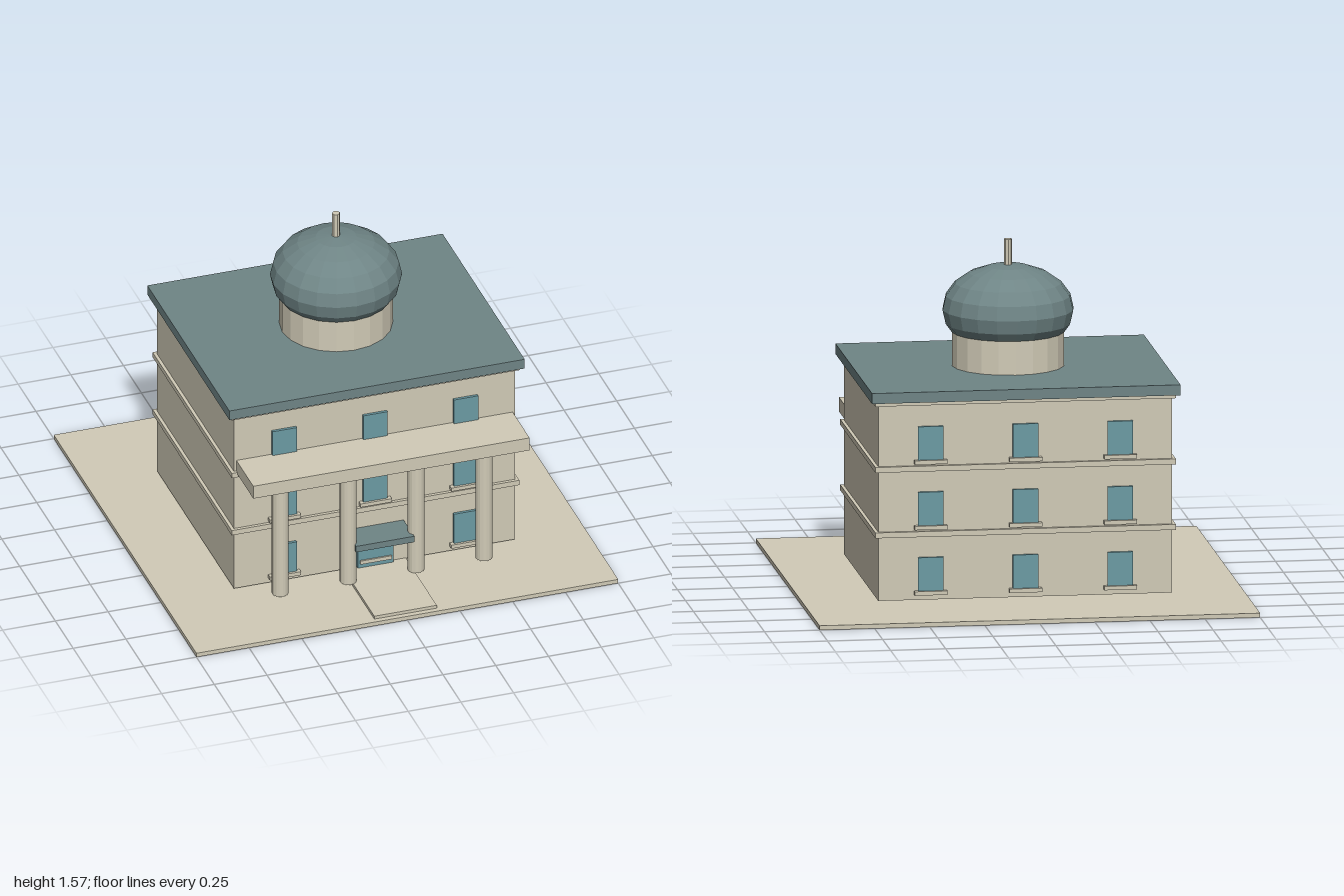
import * as THREE from 'three';

export function createModel() {
  const model = new THREE.Group();
  model.name = 'domedBuilding';

  const material = (name, color, flatShading = true) => {
    const m = new THREE.MeshStandardMaterial({ color, flatShading });
    m.name = name;
    return m;
  };
  const stone = material('stone', 0xd1cbb7);
  const slate = material('slate', 0x6f8586);
  const glass = material('glass', 0x6c9ba4);

  const add = (name, geometry, mat, x, y, z) => {
    const mesh = new THREE.Mesh(geometry, mat);
    mesh.name = name;
    mesh.position.set(x, y, z);
    model.add(mesh);
    return mesh;
  };
  // Box given by its ranges along each axis
  const box = (name, mat, [x0, x1], [y0, y1], [z0, z1]) =>
    add(name, new THREE.BoxGeometry(x1 - x0, y1 - y0, z1 - z0), mat,
      (x0 + x1) / 2, (y0 + y1) / 2, (z0 + z1) / 2);
  // Upright cylinder given by its bottom and top
  const post = (name, r, sides, x, y0, y1, z) =>
    add(name, new THREE.CylinderGeometry(r, r, y1 - y0, sides), stone, x, (y0 + y1) / 2, z);
  const span = (half) => [-half, half];

  // Ground and entrance path
  box('ground', stone, span(1), [0, 0.02], span(1));
  box('path', stone, span(0.148), [0.02, 0.035], [0.5, 0.975]);

  // Main block, floor bands, cornice and roof
  box('walls', stone, span(0.667), [0.032, 0.93], span(0.54));
  for (const y of [0.322, 0.622]) box('floorBand', stone, span(0.682), [y, y + 0.025], span(0.555));
  box('cornice', stone, span(0.682), [0.925, 0.945], span(0.555));
  box('roof', slate, span(0.7), [0.942, 0.99], span(0.575));

  // Three floors of windows with sills, front and back
  for (const side of [1, -1]) {
    for (let floor = 0; floor < 3; floor++) {
      for (const x of [-0.43, 0, 0.43]) {
        const y = 0.072 + floor * 0.3;
        add('window', new THREE.BoxGeometry(0.115, 0.155, 0.02), glass, x, y + 0.0775, side * 0.543);
        add('windowSill', new THREE.BoxGeometry(0.148, 0.018, 0.035), stone, x, y - 0.007, side * 0.547);
      }
    }
  }

  // Entrance door and canopy
  box('door', glass, span(0.085), [0.035, 0.198], [0.53, 0.557]);
  box('doorCanopy', slate, span(0.138), [0.205, 0.236], [0.53, 0.69]);

  // Portico: four columns and a slab
  for (const x of [-0.483, -0.161, 0.161, 0.483]) post('column', 0.038, 16, x, 0.035, 0.64, 0.645);
  box('porticoSlab', stone, span(0.655), [0.637, 0.702], [0.53, 0.777]);

  // Drum, flattened dome and finial
  post('drum', 0.255, 20, 0, 0.985, 1.16, 0);
  const dome = add('dome', new THREE.SphereGeometry(0.297, 20, 10), slate, 0, 1.245, 0);
  dome.scale.y = 0.69;
  post('finial', 0.018, 8, 0, 1.43, 1.565, 0);

  return model;
}
